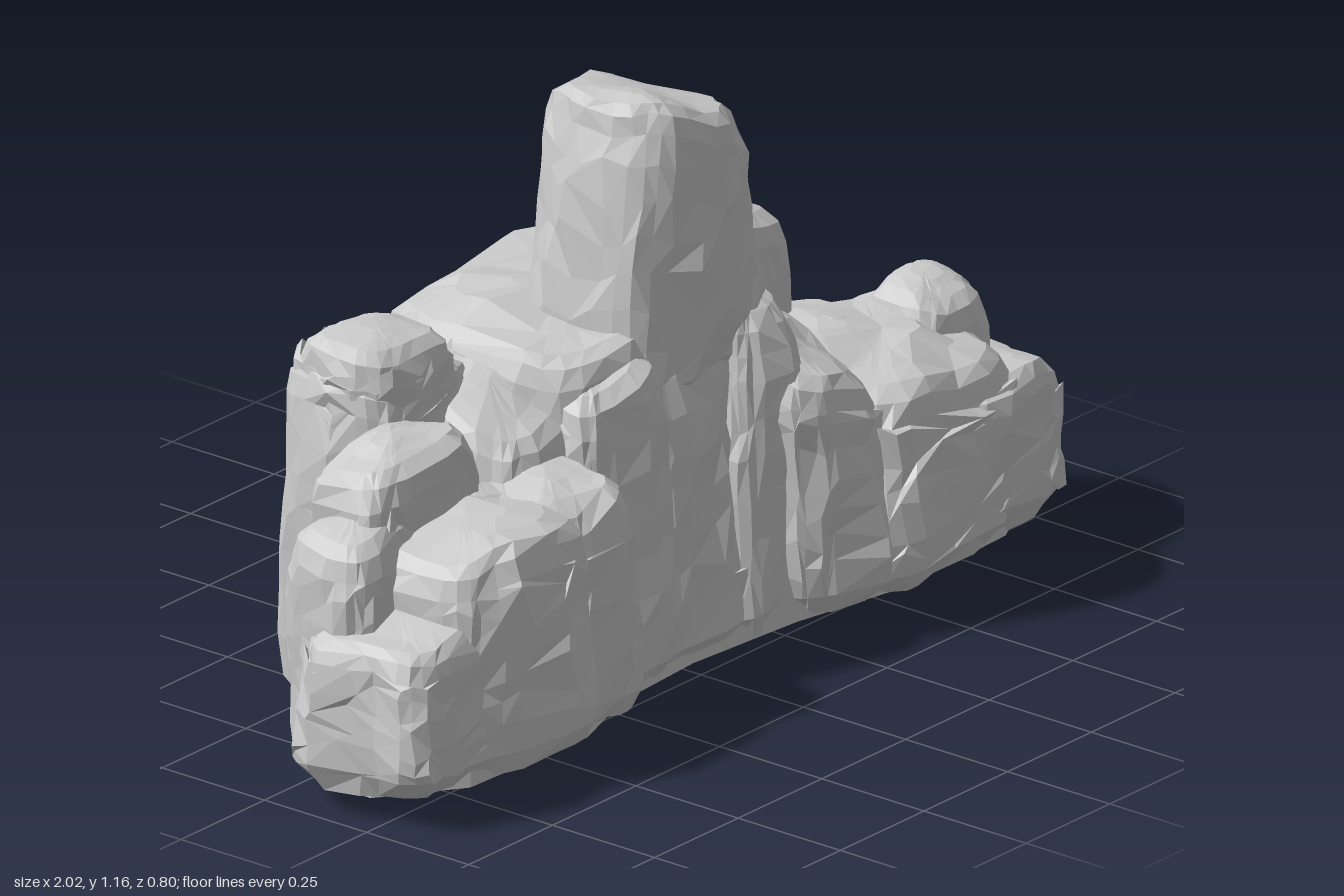
import * as THREE from 'three';

const SEG = 26;
const material = new THREE.MeshStandardMaterial({ color: 0xcccccc, flatShading: true });

// Seeded lattice hash and smooth value noise, both in -1..1
function hash(x, y, z) {
  let h = (Math.imul(x, 374761393) + Math.imul(y, 668265263) + Math.imul(z, 1274126177)) | 0;
  h = Math.imul(h ^ (h >>> 13), 1103515245);
  return (((h ^ (h >>> 16)) >>> 0) / 4294967295) * 2 - 1;
}
function noise(x, y, z) {
  const ix = Math.floor(x), iy = Math.floor(y), iz = Math.floor(z);
  const s = (t) => t * t * (3 - 2 * t), mix = THREE.MathUtils.lerp;
  const u = s(x - ix), v = s(y - iy), w = s(z - iz);
  const row = (j, k) => mix(hash(ix, iy + j, iz + k), hash(ix + 1, iy + j, iz + k), u);
  return mix(mix(row(0, 0), row(1, 0), v), mix(row(0, 1), row(1, 1), v), w);
}

// The underside rises a little towards the ends, the front and the back edge
const groundY = (x, z) => 0.003 + 0.03 * Math.abs(x) + 0.08 * Math.max(0, z) + 0.2 * Math.max(0, -z - 0.22);

// Outline rings from the underside to the top: [height fraction, inset, shrink, y offset]
const RINGS = [
  [0, 0, 0, 0], [0, 0.03, 0.5, 0], [0, 0.035, 1, 0.005], [0, 0.006, 1, 0.05],
  ...[0.2, 0.32, 0.44, 0.56, 0.68, 0.8].map((t) => [t, 0, 1, 0]),
  [1, 0.003, 1, -0.07], [1, 0.016, 1, -0.03], [1, 0.042, 1, -0.008],
  [1, 0.05, 0.75, 0], [1, 0.05, 0.4, 0.006], [1, 0, 0, 0.008],
];

// One weathered rock column over the area x0..x1, z0..z1
function rock(name, [x0, x1, z0, z1], top, o = {}) {
  const { foot = null, tx = 0.95, tz = 0.95, leanX = 0, leanZ = 0, slopeX = 0, slopeZ = 0, amp = 0.024, square = 0.52 } = o;
  const cx = (x0 + x1) / 2, cz = (z0 + z1) / 2, hx = (x1 - x0) / 2, hz = (z1 - z0) / 2;
  const seed = Math.round(cx * 100) + Math.round(cz * 1000);
  const pos = [], idx = [];
  RINGS.forEach(([t, inset, shrink, dy], i) => {
    for (let j = 0; j < SEG; j++) {
      // uneven spacing gives irregular facets
      const a = ((j + 0.3 * hash(j, 1, seed) + 0.2 * hash(j, i, seed)) / SEG) * Math.PI * 2;
      const c = Math.cos(a), s = Math.sin(a);
      const ux = Math.sign(c) * Math.abs(c) ** square, uz = Math.sign(s) * Math.abs(s) ** square;
      let x = cx + leanX * t + ux * (hx - inset) * shrink * (1 + (tx - 1) * t);
      let z = cz + leanZ * t + uz * (hz - inset) * shrink * (1 + (tz - 1) * t);
      const low = foot ?? groundY(x, z);
      const high = top + slopeX * (x - cx) + slopeZ * (z - cz);
      let y = low + (high - low) * t + dy;
      // upright fluting, broad lumps and chips
      const d = shrink * amp * (noise(x * 8, y * 2.2, z * 8) + 0.7 * noise(x * 17 + 40, y * 6, z * 17) + 0.2 * hash(i, j, seed));
      if (t > 0.1) y += 0.02 * noise(x * 9, 20, z * 9) + (t < 1 ? 0.02 * hash(j, i, seed) : 0);
      pos.push(x + c * d, y, z + s * d);
    }
  });
  const last = RINGS.length - 2;
  for (let i = 0; i <= last; i++) {
    for (let j = 0; j < SEG; j++) {
      const a = i * SEG + j, b = i * SEG + ((j + 1) % SEG), c = a + SEG, d = b + SEG;
      if (i === 0) idx.push(b, c, d);
      else if (i === last) idx.push(a, c, b);
      else if (hash(i, j, 3) > 0) idx.push(a, c, b, b, c, d);
      else idx.push(a, d, b, a, c, d);
    }
  }
  const g = new THREE.BufferGeometry();
  g.setAttribute('position', new THREE.Float32BufferAttribute(pos, 3));
  g.setIndex(idx);
  g.computeVertexNormals();
  const mesh = new THREE.Mesh(g, material);
  mesh.name = name;
  return mesh;
}

// Crescent slab that closes the underside between the columns
function baseSlab() {
  const outline = [
    [-0.95, 0.22], [-0.93, 0.08], [-0.85, 0.0], [-0.66, -0.04], [-0.6, -0.22], [-0.34, -0.26], [-0.24, -0.35],
    [0.28, -0.34], [0.34, -0.26], [0.53, -0.23], [0.56, -0.08], [0.72, -0.06], [0.88, 0.02], [0.95, 0.12],
    [0.95, 0.26], [0.8, 0.34], [0.5, 0.34], [0.26, 0.27], [0, 0.23], [-0.25, 0.26], [-0.45, 0.34], [-0.8, 0.34],
  ];
  const shape = new THREE.Shape(outline.map(([x, z]) => new THREE.Vector2(x, -z)));
  const g = new THREE.ExtrudeGeometry(shape, { depth: 0.15, bevelEnabled: false }).rotateX(-Math.PI / 2);
  const p = g.attributes.position;
  for (let i = 0; i < p.count; i++) p.setY(i, p.getY(i) + groundY(p.getX(i), p.getZ(i)));
  g.computeVertexNormals();
  const mesh = new THREE.Mesh(g, material);
  mesh.name = 'baseSlab';
  return mesh;
}

export function createModel() {
  const group = new THREE.Group();
  group.name = 'rockFormation';
  group.add(
    baseSlab(),

    // Central mass with its summit
    rock('centralMass', [-0.345, 0.345, -0.345, 0.21], 0.73, { tx: 0.96, tz: 0.97 }),
    rock('backWall', [-0.28, 0.325, -0.385, -0.13], 0.7, { slopeZ: 0.35, tz: 0.95, leanZ: 0.006 }),
    rock('summit', [-0.18, 0.32, -0.13, 0.215], 1.125, { foot: 0.55, tx: 0.62, tz: 0.97, slopeX: -0.32, slopeZ: 0.04, square: 0.6 }),
    rock('summitShoulder', [0.12, 0.42, -0.135, 0.02], 0.98, { foot: 0.55, tx: 0.68, leanX: -0.005, slopeX: -0.35, amp: 0.014, square: 0.4 }),

    // Buttresses on the front of the centre, leaning back as they rise
    rock('frontButtressRight', [-0.31, -0.06, 0.0, 0.27], 0.68, { tz: 0.9, leanZ: -0.02, slopeX: 0.2, slopeZ: -0.3 }),
    rock('frontButtressMiddle', [-0.14, 0.18, 0.0, 0.265], 0.7, { tz: 0.85, leanZ: -0.035, slopeZ: -0.35 }),
    rock('frontButtressLeft', [0.1, 0.34, 0.0, 0.28], 0.69, { tx: 0.7, tz: 0.9, leanZ: -0.02, slopeZ: -0.3 }),

    // Rear towers
    rock('rearTowerLeft', [0.26, 0.58, -0.285, 0.02], 0.745, { tx: 0.98, tz: 0.97, slopeX: -0.3, amp: 0.014, square: 0.4 }),
    rock('rearTowerRight', [-0.665, -0.3, -0.285, 0.0], 0.71, { tx: 0.95, leanX: 0.005 }),
    rock('rearTowerRightCap', [-0.64, -0.35, -0.265, -0.01], 0.775, { foot: 0.55, tx: 0.87, square: 0.65 }),

    // Fill joining the towers, the centre and the wings
    rock('saddleRight', [-0.68, -0.2, -0.12, 0.24], 0.53, { slopeX: 0.15, slopeZ: -0.15 }),
    rock('saddleLeft', [0.2, 0.66, -0.1, 0.26], 0.5, { slopeX: -0.15, slopeZ: -0.15 }),
    rock('middleStepRight', [-0.48, -0.2, -0.16, 0.18], 0.65, { slopeX: 0.2, slopeZ: -0.3 }),
    rock('middleStepLeft', [0.22, 0.47, -0.1, 0.2], 0.57, { slopeX: -0.3, slopeZ: -0.3 }),
    rock('sideStepLeft', [0.45, 0.77, -0.09, 0.22], 0.49, { slopeX: -0.03 }),
    rock('sideStepRight', [-0.84, -0.5, -0.07, 0.15], 0.645, { slopeX: 0.05 }),

    // Right wing
    rock('rightWingInner', [-0.52, -0.25, 0.02, 0.345], 0.53, { slopeX: 0.2, slopeZ: -0.2 }),
    rock('rightWing', [-0.83, -0.4, 0.0, 0.39], 0.5, { tz: 0.93, leanZ: -0.012, amp: 0.018 }),
    rock('rightWingTip', [-0.99, -0.62, -0.01, 0.375], 0.385, { tx: 0.98, tz: 0.92, slopeX: 0.1, square: 0.6 }),
    rock('rightWingKnob', [-0.94, -0.68, -0.04, 0.17], 0.55, { tx: 0.9, slopeX: 0.08 }),

    // Left wing
    rock('leftWingInner', [0.225, 0.5, 0.0, 0.355], 0.55, { slopeX: -0.25, slopeZ: -0.3, tz: 0.9, leanZ: -0.015 }),
    rock('leftWing', [0.4, 0.86, 0.0, 0.395], 0.475, { tz: 0.9, leanZ: -0.02, slopeZ: -0.2 }),
    rock('leftWingTip', [0.6, 1.01, -0.01, 0.385], 0.39, { tx: 0.97, tz: 0.92, slopeX: -0.1, square: 0.6 }),
    rock('leftWingKnob', [0.69, 0.925, 0.03, 0.25], 0.535, { tx: 0.9, square: 0.62 })
  );
  return group;
}
